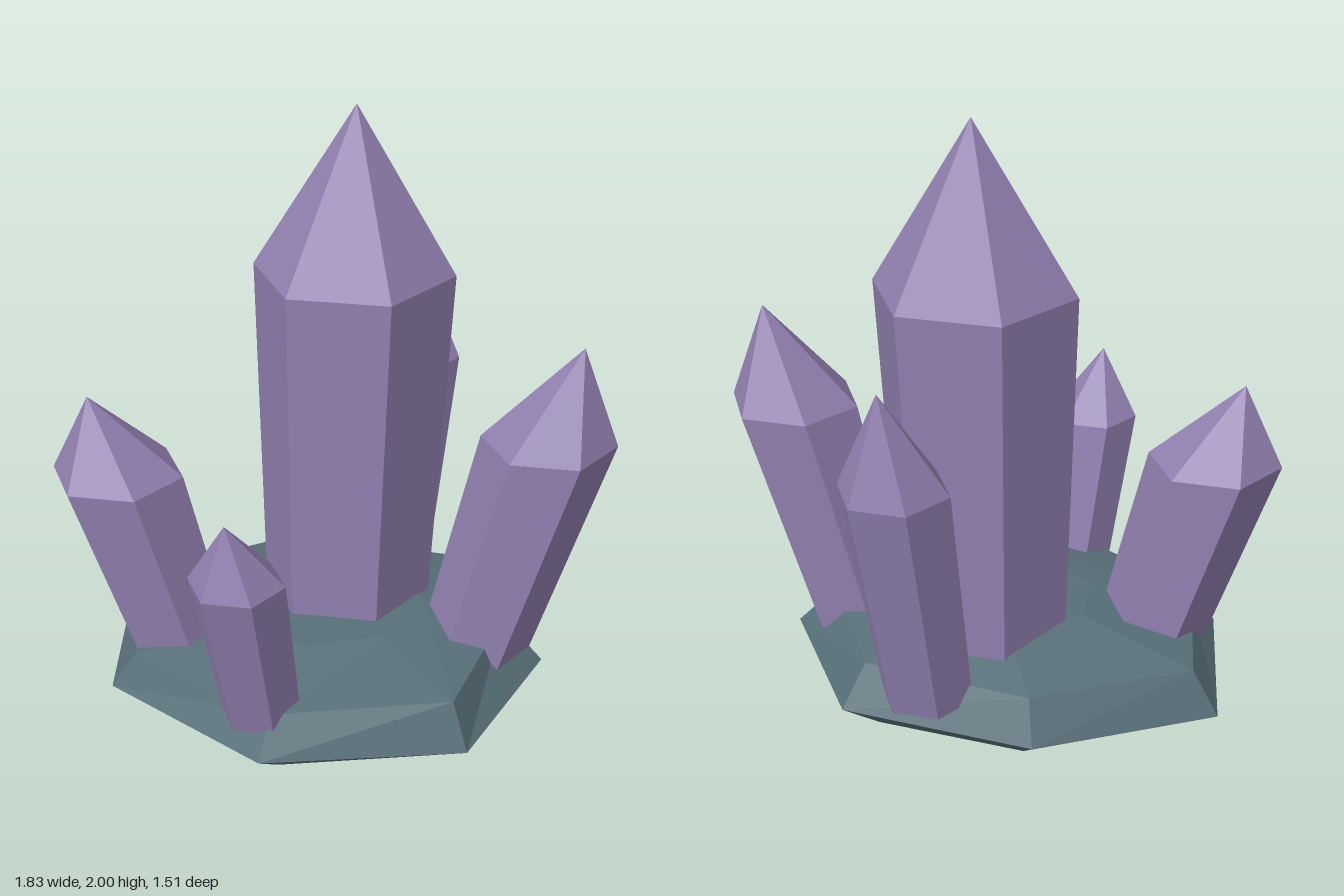
import * as THREE from 'three';

const crystalMaterial = new THREE.MeshStandardMaterial({ color: 0x9180b0, flatShading: true });
const rockMaterial = new THREE.MeshStandardMaterial({ color: 0x587079, flatShading: true });

// Skins stacked rings (bottom to top), closing each end with a fan to a point.
function loft(rings, bottom, top) {
  const positions = [];
  const tri = (...points) => points.forEach((p) => positions.push(...p));
  const n = rings[0].length;
  for (let i = 0; i < n; i++) {
    const j = (i + 1) % n;
    tri(bottom, rings[0][i], rings[0][j]);
    for (let k = 0; k + 1 < rings.length; k++) {
      const low = rings[k], high = rings[k + 1];
      tri(low[i], high[i], low[j]);
      tri(low[j], high[i], high[j]);
    }
    const last = rings[rings.length - 1];
    tri(last[i], top, last[j]);
  }
  const geometry = new THREE.BufferGeometry();
  geometry.setAttribute('position', new THREE.Float32BufferAttribute(positions, 3));
  geometry.computeVertexNormals();
  return geometry;
}

// Level hexagon with corners on the x axis.
function hexagon([x, y, z], radius) {
  return Array.from({ length: 6 }, (_, i) => {
    const a = (i * Math.PI) / 3;
    return [x + radius * Math.cos(a), y, z + radius * Math.sin(a)];
  });
}

// Leaning six-sided prism that widens upwards and ends in a point.
function crystal(name, foot, shoulder, tip, radius) {
  const rings = [hexagon(foot, radius * 0.85), hexagon(shoulder, radius)];
  const mesh = new THREE.Mesh(loft(rings, foot, tip), crystalMaterial);
  mesh.name = name;
  return mesh;
}

// Irregular seven-sided slab: underside, widest edge, upper rim, raised middle.
function rockBase() {
  const underside = [[0.53, 0, -0.04], [0.4, 0, 0.385], [-0.09, 0, 0.54], [-0.54, 0, 0.27],
    [-0.61, 0, -0.16], [-0.21, 0, -0.45], [0.29, 0, -0.42]];
  const edge = [[0.71, 0.11, -0.05], [0.515, 0.1, 0.5], [-0.12, 0.115, 0.69], [-0.7, 0.1, 0.35],
    [-0.8, 0.08, -0.21], [-0.27, 0.11, -0.58], [0.375, 0.11, -0.535]];
  const rim = [[0.57, 0.26, -0.05], [0.46, 0.255, 0.45], [-0.1, 0.24, 0.6], [-0.62, 0.225, 0.32],
    [-0.71, 0.23, -0.19], [-0.24, 0.245, -0.505], [0.32, 0.25, -0.455]];
  const crown = [[0.3, 0.31, -0.03], [0.19, 0.31, 0.21], [-0.07, 0.31, 0.31], [-0.29, 0.3, 0.14],
    [-0.32, 0.31, -0.08], [-0.12, 0.31, -0.28], [0.15, 0.31, -0.25]];
  const mesh = new THREE.Mesh(
    loft([underside, edge, rim, crown], [0, 0, 0], [0, 0.31, 0]), rockMaterial);
  mesh.name = 'rockBase';
  return mesh;
}

export function createModel() {
  const group = new THREE.Group();
  group.name = 'crystalCluster';
  group.add(
    rockBase(),
    crystal('centralCrystal', [0.015, 0.18, -0.125], [0.033, 1.46, -0.147], [0.037, 2, -0.16], 0.33),
    crystal('leftCrystal', [0.48, 0.18, -0.02], [0.69, 0.96, -0.035], [0.785, 1.29, -0.04], 0.22),
    crystal('rightCrystal', [-0.515, 0.18, 0.13], [-0.695, 0.82, 0.163], [-0.78, 1.09, 0.175], 0.22),
    crystal('frontCrystal', [-0.15, 0.18, 0.51], [-0.192, 0.73, 0.622], [-0.21, 0.955, 0.68], 0.153),
    crystal('backCrystal', [0.105, 0.18, -0.47], [0.157, 0.975, -0.6], [0.18, 1.31, -0.66], 0.178),
  );
  return group;
}
